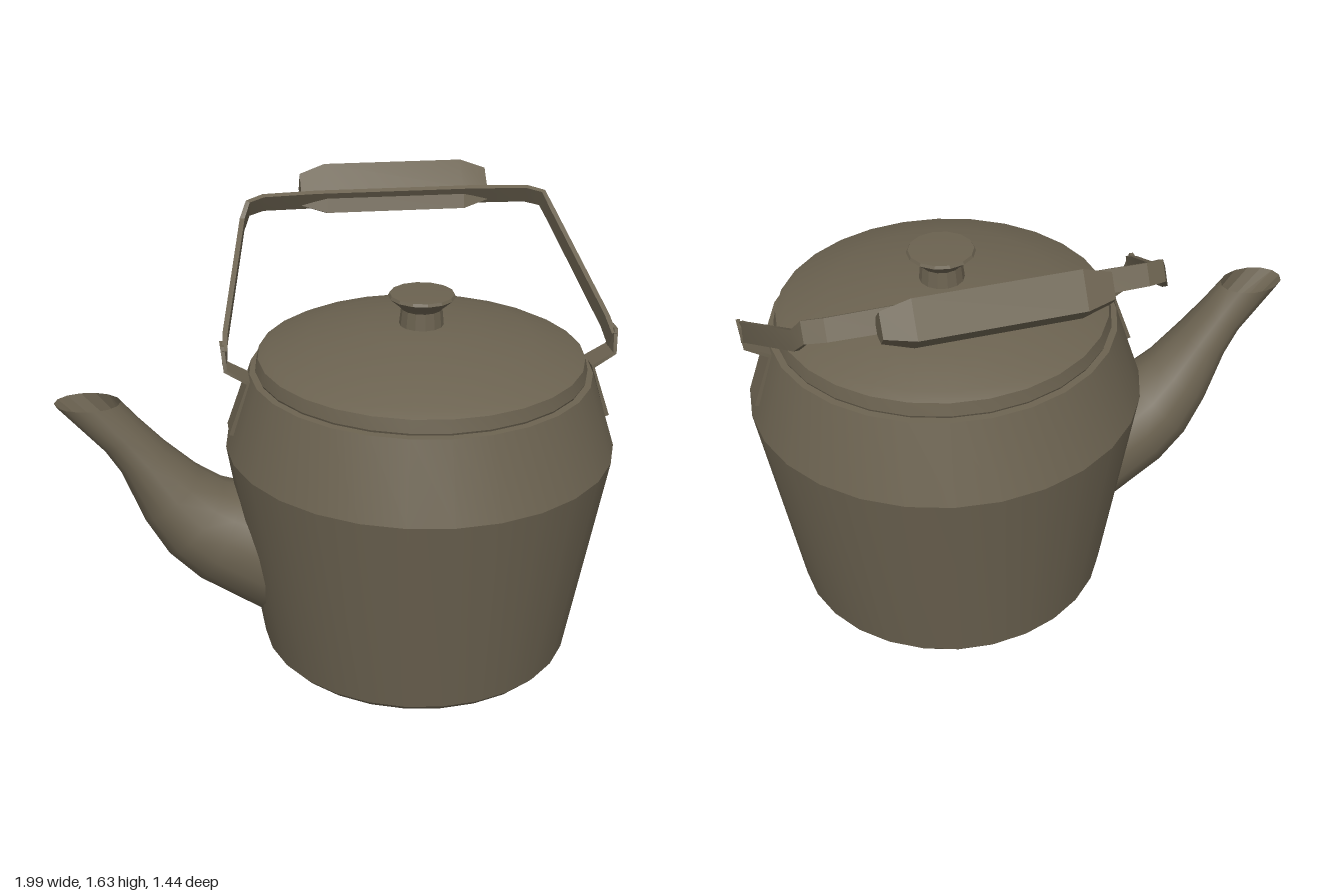
import * as THREE from 'three';
import { toCreasedNormals } from 'three/addons/utils/BufferGeometryUtils.js';

const metal = new THREE.MeshStandardMaterial({ color: 0x6b6250, side: THREE.DoubleSide });
const CX = 0.285, CZ = 0.025; // axis of the pot

function addMesh(parent, name, geometry, crease = 0.4) {
  const mesh = new THREE.Mesh(toCreasedNormals(geometry, crease), metal);
  mesh.name = name;
  parent.add(mesh);
  return mesh;
}

function lathe(profile, sides) {
  return new THREE.LatheGeometry(profile.map(([r, y]) => new THREE.Vector2(r, y)), sides);
}

// Skin over rings of [x, y, z] points, optionally capped at each end
function loft(rings, capStart = true, capEnd = true) {
  const n = rings[0].length, pos = rings.flat(2), index = [];
  for (let i = 0; i < rings.length - 1; i++) {
    for (let j = 0; j < n; j++) {
      const a = i * n + j, b = i * n + (j + 1) % n;
      index.push(a, b, a + n, b, b + n, a + n);
    }
  }
  const last = (rings.length - 1) * n;
  for (let j = 1; j < n - 1; j++) {
    if (capStart) index.push(0, j + 1, j);
    if (capEnd) index.push(last, last + j, last + j + 1);
  }
  const g = new THREE.BufferGeometry();
  g.setAttribute('position', new THREE.Float32BufferAttribute(pos, 3));
  g.setIndex(index);
  g.computeVertexNormals();
  return g;
}

// Flat strap: each stop is [x, y, z, half width, thickness direction x, y, z];
// its width runs along the given direction
function strap(stops, widthDir, half) {
  return loft(stops.map(([x, y, z, w, tx, ty, tz]) =>
    [[1, 1], [-1, 1], [-1, -1], [1, -1]].map(([s, t]) => [
      x + widthDir[0] * w * s + tx * half * t,
      y + widthDir[1] * w * s + ty * half * t,
      z + widthDir[2] * w * s + tz * half * t])));
}

export function createModel() {
  const kettle = new THREE.Group();
  kettle.name = 'kettle';
  const pot = new THREE.Group();
  pot.name = 'pot';
  pot.position.set(CX, 0, CZ);
  kettle.add(pot);

  // Turned parts
  addMesh(pot, 'body', lathe([[0, 0], [0.55, 0], [0.568, 0.02], [0.695, 0.8], [0.605, 1.075], [0.56, 1.08]], 28));
  addMesh(pot, 'lid', lathe([[0.575, 1.06], [0.585, 1.085], [0.575, 1.13], [0.54, 1.148],
    [0.39, 1.195], [0.2, 1.23], [0, 1.24]], 28));
  addMesh(pot, 'knob', lathe([[0.08, 1.22], [0.072, 1.295], [0.08, 1.305], [0.118, 1.338],
    [0.113, 1.348], [0, 1.354]], 14));

  // Spout: outer edge x, y, inner edge x, y, half depth
  const stations = [
    [-1.0, 1.0, -0.77, 0.995, 0.085],
    [-0.84, 0.82, -0.71, 0.92, 0.095],
    [-0.79, 0.74, -0.62, 0.82, 0.115],
    [-0.72, 0.55, -0.51, 0.72, 0.145],
    [-0.64, 0.41, -0.42, 0.66, 0.175],
    [-0.53, 0.3, -0.36, 0.64, 0.195],
    [-0.3, 0.15, -0.3, 0.63, 0.21],
    [-0.2, 0.12, -0.2, 0.62, 0.21],
  ];
  const spoutRing = ([ax, ay, bx, by, d], scale = 1) => Array.from({ length: 14 }, (_, i) => {
    const a = i / 14 * Math.PI * 2, c = Math.cos(a) * scale;
    return [(ax + bx) / 2 + (bx - ax) / 2 * c, (ay + by) / 2 + (by - ay) / 2 * c, CZ + Math.sin(a) * d * scale];
  });
  addMesh(kettle, 'spout', loft(stations.map(s => spoutRing(s)), false, false), 0.7);
  addMesh(kettle, 'spoutMouth', loft([spoutRing(stations[0]), spoutRing(stations[1], 0.85)], false, true));

  // Lugs folded out from the shoulders
  for (const [side, name] of [[1, 'leftLug'], [-1, 'rightLug']]) {
    addMesh(kettle, name, strap([
      [0.678, 0.87, 0.032, 0.052, 1, 0.3, 0],
      [0.613, 1.065, 0.032, 0.052, 0.8, -0.6, 0],
      [0.69, 1.11, 0.03, 0.048, 0.9, -0.4, 0],
      [0.698, 1.19, 0.018, 0.028, 1, 0, 0],
    ].map(([x, y, z, w, tx, ty, tz]) => [CX + side * x, y, z, w, side * tx, ty, tz]), [0, 0, 1], 0.007));
  }

  // Tilted bail: one band running over from lug to lug
  const arm = [
    [0.69, 1.145, 0.035, 0.036, 1, 0, 0],
    [0.682, 1.19, -0.04, 0.034, 1, 0, 0],
    [0.585, 1.45, -0.51, 0.032, 0.98, 0.1, -0.17],
    [0.56, 1.5, -0.55, 0.035, 0.75, 0.3, -0.55],
    [0.5, 1.512, -0.575, 0.036, 0.25, 0.45, -0.85],
    [0.3, 1.515, -0.58, 0.038, 0, 0.48, -0.87],
  ];
  const band = [
    ...arm.map(([x, ...rest]) => [CX - x, ...rest]).map(s => [...s.slice(0, 4), -s[4], s[5], s[6]]),
    ...arm.slice().reverse().map(([x, ...rest]) => [CX + x, ...rest]),
  ];
  addMesh(kettle, 'handleBand', strap(band, [0, 0.87, 0.49], 0.009));

  // Faceted grip with chamfered ends
  const section = [[1.47, -0.55], [1.545, -0.575], [1.628, -0.66], [1.52, -0.725], [1.46, -0.67], [1.455, -0.6]];
  const gripRing = (x, s) => section.map(([y, z]) => [CX + x, 1.535 + (y - 1.535) * s, -0.635 + (z + 0.635) * s]);
  addMesh(kettle, 'grip', loft([gripRing(-0.355, 0.65), gripRing(-0.26, 1), gripRing(0.26, 1), gripRing(0.355, 0.65)]), 0.2);

  return kettle;
}
